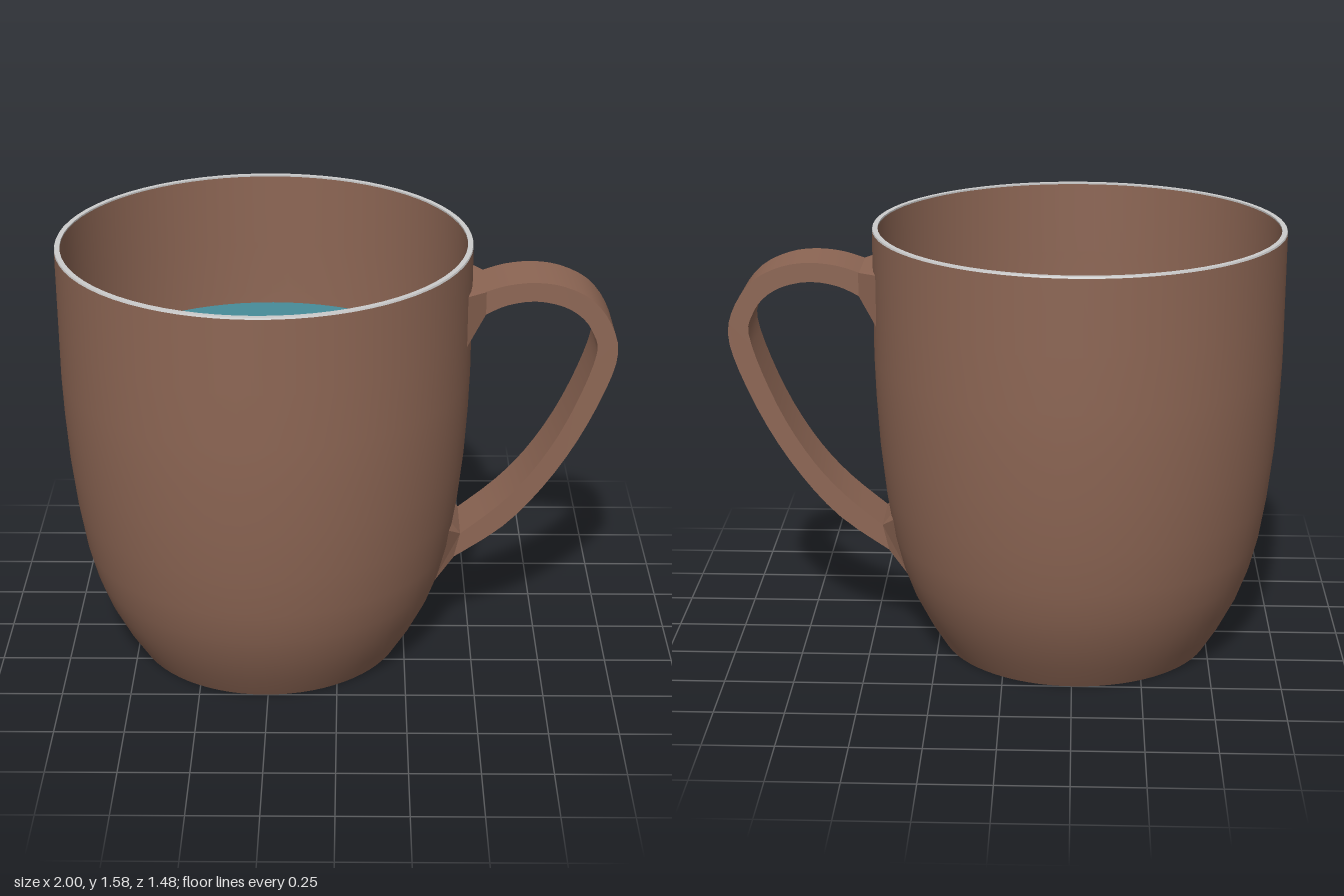
import * as THREE from 'three';
import { toCreasedNormals } from 'three/addons/utils/BufferGeometryUtils.js';

const CUP_X = -0.26, TOP = 1.575, HALF = 0.11;
const PROFILE = [[0.5, 0], [0.555, 0.09], [0.61, 0.2], [0.65, 0.31], [0.68, 0.43], [0.705, 0.59],
  [0.724, 0.77], [0.735, 0.95], [0.74, 1.1], [0.74, 1.3], [0.74, TOP - 0.006]];

// Outer cup radius at a height
function radiusAt(y) {
  for (let i = 1; i < PROFILE.length; i++) {
    const [r0, y0] = PROFILE[i - 1], [r1, y1] = PROFILE[i];
    if (y <= y1) return r0 + (r1 - r0) * (y - y0) / (y1 - y0);
  }
  return 0.74;
}

// Point on the cup wall on the handle side
const onCup = (y, z) => [Math.sqrt(radiusAt(y) ** 2 - z * z) + CUP_X - 0.006, y, z];

const vectors = pts => pts.map(([x, y]) => new THREE.Vector2(x, y));

export function createModel() {
  const brown = new THREE.MeshStandardMaterial({ color: 0x8d6654, side: THREE.DoubleSide });
  brown.name = 'brown glaze';
  const grey = new THREE.MeshStandardMaterial({ color: 0xcccccc, side: THREE.DoubleSide });
  grey.name = 'pale grey';
  const teal = new THREE.MeshStandardMaterial({ color: 0x478c99 });
  teal.name = 'teal liquid';

  const model = new THREE.Group();
  model.name = 'mug';
  const cup = new THREE.Group();
  cup.name = 'cup';
  cup.position.x = CUP_X;
  model.add(cup);

  const add = (parent, name, geometry, material) => {
    const mesh = new THREE.Mesh(geometry, material);
    mesh.name = name;
    parent.add(mesh);
    return mesh;
  };

  // Cup walls, rim and base
  add(cup, 'outerWall', new THREE.LatheGeometry(vectors(PROFILE), 72), brown);
  const inner = PROFILE.slice(1).map(([r, y]) => [r - 0.02, y]).reverse();
  add(cup, 'innerWall', new THREE.LatheGeometry(vectors([...inner, [0, 0.09]]), 72), brown);
  const rim = new THREE.LatheGeometry(
    vectors([[0.74, TOP - 0.006], [0.738, TOP], [0.72, TOP], [0.72, TOP - 0.006]]), 72);
  add(cup, 'rim', toCreasedNormals(rim, 0.5), grey);
  add(cup, 'base', new THREE.CircleGeometry(0.5, 72).rotateX(Math.PI / 2), grey);

  // Drink surface
  const drink = add(cup, 'liquid', new THREE.CircleGeometry(0.72, 72).rotateX(-Math.PI / 2), teal);
  drink.position.y = 1.05;

  // Handle: a curved strap between an outer and an inner curve
  const outerCurve = new THREE.SplineCurve(vectors([[0.52, 1.42], [0.6, 1.445], [0.7, 1.455],
    [0.8, 1.44], [0.9, 1.39], [0.97, 1.3], [1, 1.19], [0.965, 1.05], [0.87, 0.84],
    [0.75, 0.65], [0.61, 0.49], [0.43, 0.36]]));
  const innerCurve = new THREE.SplineCurve(vectors([[0.455, 0.46], [0.59, 0.575], [0.7, 0.7],
    [0.8, 0.86], [0.88, 1.04], [0.925, 1.19], [0.91, 1.26], [0.87, 1.32], [0.8, 1.365],
    [0.7, 1.385], [0.6, 1.37], [0.525, 1.335]]));
  const strap = new THREE.Shape([...outerCurve.getPoints(33), ...innerCurve.getPoints(33)]);
  const strapGeometry = new THREE.ExtrudeGeometry(strap, { depth: 2 * HALF, bevelEnabled: false });
  strapGeometry.translate(0, 0, -HALF);
  add(model, 'handle', toCreasedNormals(strapGeometry, 0.35), brown);

  // Flared joint from the strap's end to the cup wall; the last quad is the underside
  function joint(name, top, bottom, cupTop, cupBottom, wideTop, wideBottom, underside) {
    const A = [...top, -HALF], B = [...top, HALF], C = [...bottom, HALF], D = [...bottom, -HALF];
    const a = onCup(cupTop, -wideTop), a2 = onCup(cupTop, -HALF);
    const b = onCup(cupTop, wideTop), b2 = onCup(cupTop, HALF);
    const c = onCup(cupBottom, wideBottom), c2 = onCup(cupBottom, HALF);
    const d = onCup(cupBottom, -wideBottom), d2 = onCup(cupBottom, -HALF);
    const faces = [A, a2, b2, A, b2, B, B, b2, b, A, a, a2, B, b, c, B, c, C,
      A, D, d, A, d, a, C, c, c2, D, d2, d, C, c2, d2, C, d2, D];
    const geometry = new THREE.BufferGeometry();
    geometry.setAttribute('position', new THREE.Float32BufferAttribute(faces.flat(), 3));
    geometry.computeVertexNormals();
    geometry.addGroup(0, 30, 0);
    geometry.addGroup(30, 6, 1);
    // Turn every corner order outward
    add(model, name, geometry, [brown, underside]);
  }
  joint('upperJoint', [0.525, 1.42], [0.525, 1.335], 1.43, 1.23, 0.19, 0.19, grey);
  joint('lowerJoint', [0.455, 0.46], [0.432, 0.36], 0.51, 0.27, 0.18, 0.16, brown);

  return model;
}
